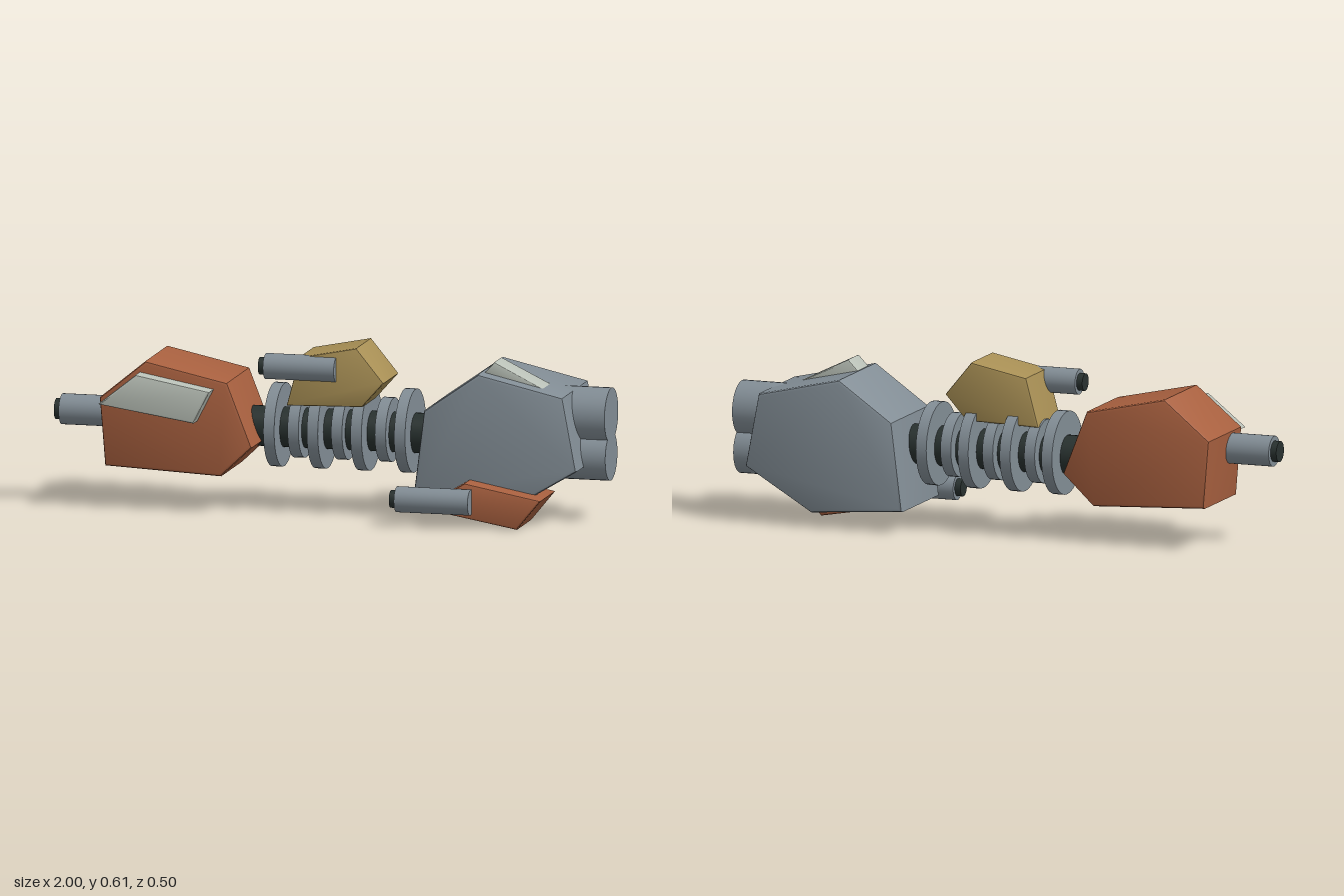
import * as THREE from 'three';
import { toCreasedNormals } from 'three/addons/utils/BufferGeometryUtils.js';

const material = (name, color) => {
  const m = new THREE.MeshStandardMaterial({ color });
  m.name = name;
  return m;
};

export function createModel() {
  const model = new THREE.Group();
  model.name = 'modularShip';

  const grey = material('steelGrey', 0x828d95);
  const rust = material('rust', 0xa8603f);
  const ochre = material('ochre', 0xa99055);
  const pale = material('paleGrey', 0xb9c0b7);
  const dark = material('darkMetal', 0x28312f);

  const add = (name, geometry, mat, parent = model) => {
    const mesh = new THREE.Mesh(geometry, mat);
    mesh.name = name;
    parent.add(mesh);
    return mesh;
  };

  // Faceted block: a side profile run from z0 to z1 with softened rims
  const block = (name, points, z0, z1, mat, bevel = 0.012) => {
    const shape = new THREE.Shape(points.map(([x, y]) => new THREE.Vector2(x, y)));
    const geometry = new THREE.ExtrudeGeometry(shape, {
      depth: z1 - z0 - 2 * bevel,
      bevelEnabled: true,
      bevelThickness: bevel,
      bevelSize: bevel,
      bevelOffset: -bevel,
      bevelSegments: 2,
    });
    geometry.translate(0, 0, z0 + bevel);
    return add(name, toCreasedNormals(geometry, 0.6), mat);
  };

  // Cylinder lying along x
  const rod = (name, x0, x1, y, z, radius, mat, parent = model) => {
    const geometry = new THREE.CylinderGeometry(radius, radius, x1 - x0, 32);
    geometry.rotateZ(-Math.PI / 2);
    geometry.translate((x0 + x1) / 2, y, z);
    return add(name, geometry, mat, parent);
  };

  // Hull modules
  block('noseHull', [
    [-0.82, 0.40], [-0.80, 0.155], [-0.375, 0.135],
    [-0.26, 0.245], [-0.35, 0.475], [-0.65, 0.54],
  ], -0.166, 0.156, rust);
  block('engineHull', [
    [0.32, 0.08], [0.67, 0.054], [0.92, 0.205],
    [0.87, 0.47], [0.56, 0.541], [0.36, 0.40],
  ], -0.248, 0.118, grey);
  block('topPod', [
    [-0.147, 0.393], [0.13, 0.40], [0.21, 0.49], [0.11, 0.612], [-0.10, 0.57],
  ], -0.111, 0.104, ochre, 0.008);
  block('bellyPod', [
    [0.37, 0.062], [0.72, 0.0], [0.808, 0.108], [0.53, 0.16],
  ], -0.023, 0.193, rust, 0.008);

  // Armour panels
  block('sidePanel', [
    [-0.81, 0.387], [-0.46, 0.333], [-0.40, 0.45], [-0.67, 0.50],
  ], 0.12, 0.216, pale, 0.008);
  block('roofPanel', [
    [0.565, 0.535], [0.70, 0.48], [0.785, 0.489], [0.605, 0.577],
  ], -0.046, 0.06, pale, 0.006);

  // Spine with alternating large and small rings
  rod('spine', -0.31, 0.38, 0.29, -0.04, 0.072, dark);
  for (let i = 0; i < 7; i++) {
    const x = -0.21 + i * 0.08;
    rod('spineRing', x - 0.02, x + 0.02, 0.298, -0.04, i % 2 ? 0.115 : 0.15, grey);
  }

  // Guns with dark muzzles
  const gun = (name, x0, x1, y, z, radius) => {
    const group = new THREE.Group();
    group.name = name;
    model.add(group);
    rod('barrel', x0, x1, y, z, radius, grey, group);
    rod('muzzle', x0 - 0.022, x0 + 0.01, y, z, radius * 0.68, dark, group);
  };
  gun('noseGun', -0.978, -0.7, 0.337, 0.065, 0.055);
  gun('topGun', -0.225, 0.035, 0.531, 0.09, 0.046);
  gun('bellyGun', 0.285, 0.555, 0.094, 0.204, 0.046);

  // Engines
  rod('upperEngine', 0.74, 1, 0.382, -0.07, 0.098, grey);
  rod('lowerEngine', 0.74, 1, 0.233, -0.07, 0.087, grey);

  return model;
}
